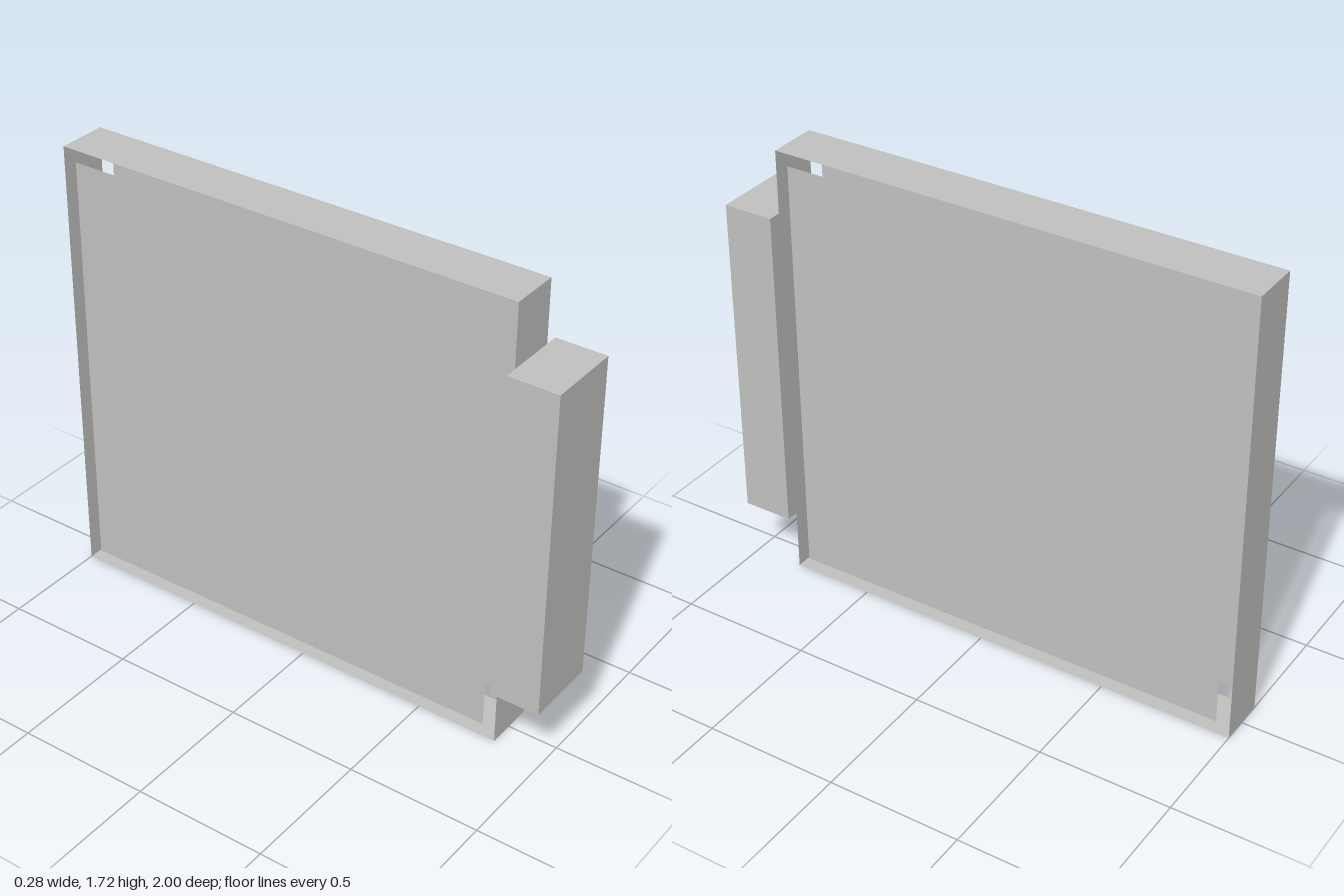
import * as THREE from 'three';

const HALF_W = 0.094;              // half thickness of the frame
const FRONT = 0.81, BACK = -1;     // frame depth range
const HEIGHT = 1.715;

export function createModel() {
  const model = new THREE.Group();
  const grey = new THREE.MeshStandardMaterial({ color: 0xc0c0be });
  grey.name = 'light grey';
  grey.side = THREE.DoubleSide;    // the frame and panels are open sheets

  const add = (name, geometry, x, y, z) => {
    const mesh = new THREE.Mesh(geometry, grey);
    mesh.name = name;
    mesh.position.set(x, y, z);
    model.add(mesh);
    return mesh;
  };

  const depth = FRONT - BACK;
  const midZ = (FRONT + BACK) / 2;

  // Thin rectangular frame, open towards both sides
  for (const [name, y, turn] of [['frameTop', HEIGHT, -1], ['frameBottom', 0, 1]]) {
    add(name, new THREE.PlaneGeometry(HALF_W * 2, depth), 0, y, midZ).rotation.x = turn * Math.PI / 2;
  }
  for (const [name, z, turn] of [['frameFront', FRONT, 0], ['frameBack', BACK, Math.PI]]) {
    add(name, new THREE.PlaneGeometry(HALF_W * 2, HEIGHT), 0, HEIGHT / 2, z).rotation.y = turn;
  }

  // Flat side panels, set in from the frame edges by a narrow gap
  for (const [name, side] of [['leftPanel', 1], ['rightPanel', -1]]) {
    add(name, new THREE.PlaneGeometry(1.71, 1.62), side * HALF_W, 0.86, -0.093).rotation.y = side * Math.PI / 2;
  }

  // Wider block on the front edge
  add('frontBlock', new THREE.BoxGeometry(0.285, 1.24, 0.19), 0, 0.86, 0.905);

  return model;
}
